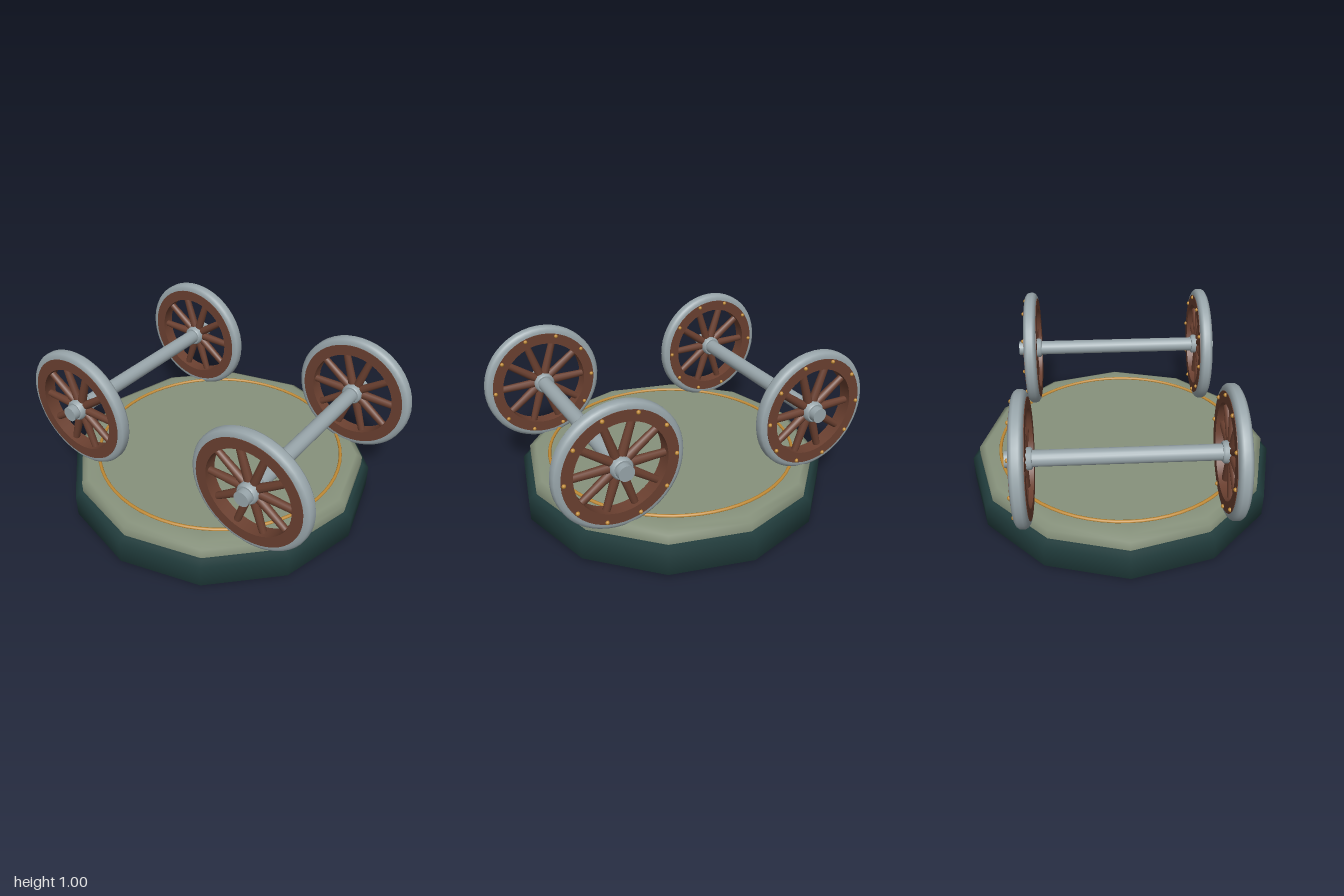
import * as THREE from 'three';
import { toCreasedNormals } from 'three/addons/utils/BufferGeometryUtils.js';

const material = (name, color) => {
  const m = new THREE.MeshStandardMaterial({ color });
  m.name = name;
  return m;
};

// Solid of revolution about y from [radius, height] pairs
const lathe = (pairs, segments) =>
  new THREE.LatheGeometry(pairs.map(([r, y]) => new THREE.Vector2(r, y)), segments);

export function createModel() {
  const steel = material('steel', 0x98a5aa);
  const wood = material('brown wood', 0x6b4030);
  const brass = material('brass', 0xc08a35);
  const sage = material('sage', 0x87927c);
  const darkGreen = material('dark green', 0x203b3b);

  const root = new THREE.Group();
  root.name = 'wheelDisplay';
  const add = (parent, name, geometry, mat) => {
    const mesh = new THREE.Mesh(geometry, mat);
    mesh.name = name;
    parent.add(mesh);
    return mesh;
  };

  // Twelve-sided plinth in two steps
  add(root, 'plinthBase', lathe([
    [0, 0], [0.85, 0], [0.9, 0], [0.96, 0.025], [0.96, 0.165], [0.925, 0.19], [0.85, 0.19], [0, 0.19],
  ], 12), darkGreen);
  add(root, 'plinthTop', lathe([
    [0.91, 0.18], [0.91, 0.25], [0.87, 0.27], [0.8, 0.27], [0, 0.27],
  ], 12), sage);
  const inlay = add(root, 'inlayRing', new THREE.TorusGeometry(0.77, 0.01, 8, 64), brass);
  inlay.rotation.x = Math.PI / 2;
  inlay.position.y = 0.275;

  // Wheel parts, built around the y axis
  const tireGeo = lathe([
    [0.325, -0.038], [0.35, -0.038], [0.367, -0.028], [0.375, -0.015],
    [0.375, 0.015], [0.367, 0.028], [0.35, 0.038], [0.325, 0.038],
  ], 48);
  const rimGeo = toCreasedNormals(lathe([
    [0.27, -0.041], [0.335, -0.041], [0.335, 0.041], [0.27, 0.041], [0.27, -0.041],
  ], 48), 0.6);
  const hubGeo = toCreasedNormals(lathe([
    [0, -0.055], [0.055, -0.055], [0.063, -0.045], [0.063, 0.045], [0.055, 0.055], [0, 0.055],
  ], 20), 0.9);
  const spokeGeo = new THREE.CylinderGeometry(0.021, 0.027, 0.25, 10);
  spokeGeo.translate(0, 0.165, 0);
  const studGeo = new THREE.SphereGeometry(0.012, 10, 8);

  const makeWheel = () => {
    const wheel = new THREE.Group();
    wheel.name = 'wheel';
    const disc = new THREE.Group();
    disc.name = 'wheelDisc';
    disc.rotation.z = -Math.PI / 2;
    wheel.add(disc);
    add(disc, 'tire', tireGeo, steel);
    add(disc, 'woodenRim', rimGeo, wood);
    add(disc, 'hub', hubGeo, steel);
    // Ten spokes, each with a stud on the rim
    for (let i = 0; i < 10; i++) {
      const a = (i * Math.PI) / 5;
      add(wheel, 'spoke', spokeGeo, wood).rotation.x = a + Math.PI / 2;
      add(wheel, 'stud', studGeo, brass).position.set(0.043, 0.32 * Math.sin(a), 0.32 * Math.cos(a));
    }
    return wheel;
  };

  // Two axles, each with a pair of wheels
  const axleGeo = new THREE.CylinderGeometry(0.046, 0.046, 1.33, 20);
  for (const z of [0.625, -0.625]) {
    const wheelset = new THREE.Group();
    wheelset.name = z > 0 ? 'frontWheelset' : 'backWheelset';
    wheelset.position.set(0, 0.625, z);
    root.add(wheelset);
    add(wheelset, 'axle', axleGeo, steel).rotation.z = Math.PI / 2;
    for (const x of [-0.57, 0.57]) {
      const wheel = makeWheel();
      wheel.position.x = x;
      wheelset.add(wheel);
    }
  }
  return root;
}
